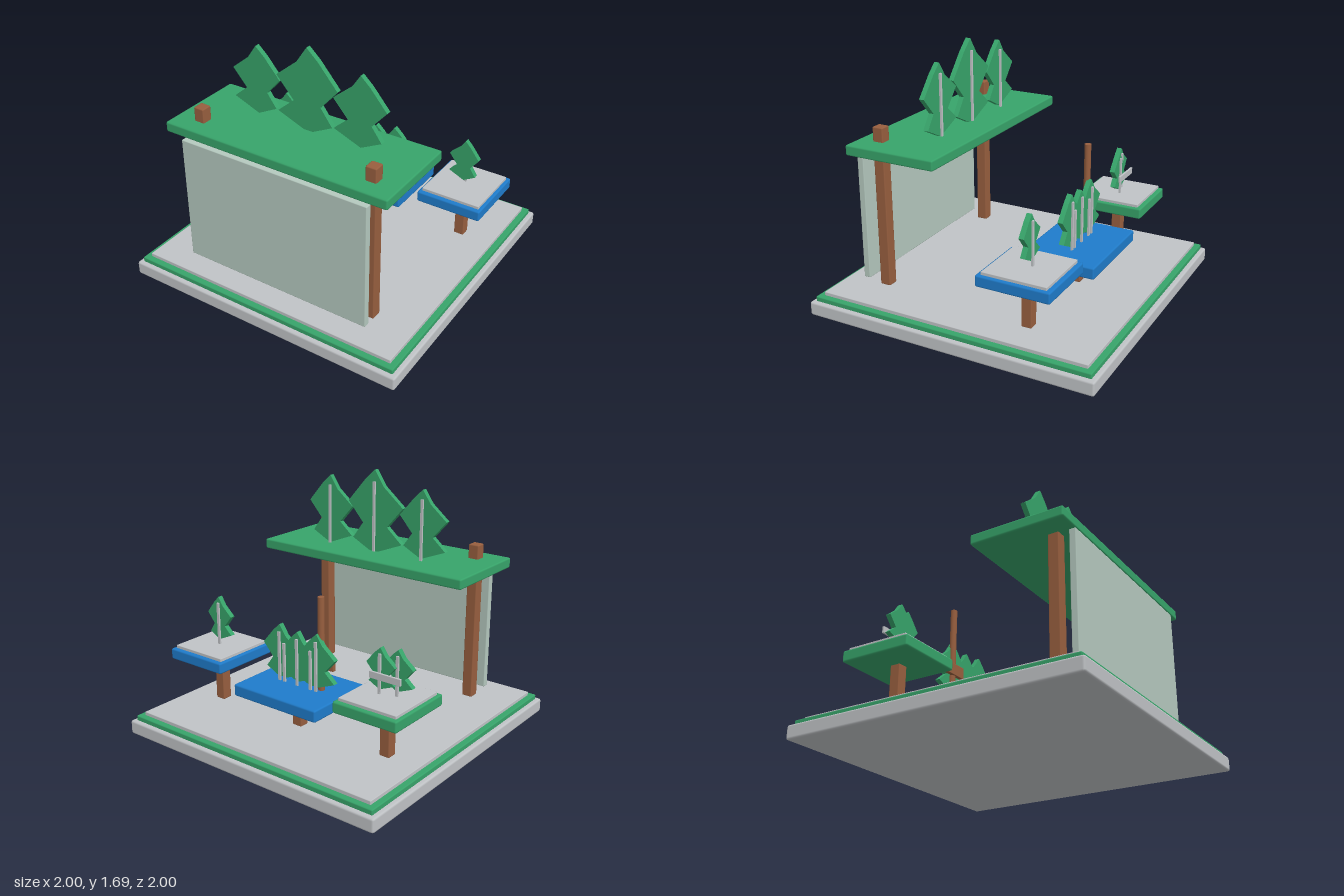
import * as THREE from 'three';
import { RoundedBoxGeometry } from 'three/addons/geometries/RoundedBoxGeometry.js';

const mat = (name, color) => {
  const m = new THREE.MeshStandardMaterial({ color });
  m.name = name;
  return m;
};

export function createModel() {
  const grey = mat('stoneGrey', 0xc0c3c6);
  const green = mat('leafGreen', 0x37a46a);
  const blue = mat('waterBlue', 0x1f7ccb);
  const brown = mat('woodBrown', 0x985f3f);
  const pale = mat('paleGlass', 0xb5c9bf);

  const model = new THREE.Group();
  model.name = 'parkDisplay';

  // Box with softened edges, given by its extents on each axis
  function slab(name, material, [x0, x1], [y0, y1], [z0, z1], bevel = 0.01, parent = model) {
    const geo = new RoundedBoxGeometry(x1 - x0, y1 - y0, z1 - z0, 1, bevel);
    const mesh = new THREE.Mesh(geo, material);
    mesh.name = name;
    mesh.position.set((x0 + x1) / 2, (y0 + y1) / 2, (z0 + z1) / 2);
    parent.add(mesh);
    return mesh;
  }

  // Two-tier leaf outline for a tree of height 1
  const outline = [
    [0, 1], [0.14, 0.87], [0.38, 0.59], [0.165, 0.35], [0.31, 0.15], [0.01, 0],
    [-0.39, 0.16], [-0.18, 0.34], [-0.4, 0.59], [-0.13, 0.81],
  ];

  // Flat cut-out tree with a thin trunk behind it; z is the middle of the cut-out
  function tree(x, y, z, height, ground, width = height) {
    const group = new THREE.Group();
    group.name = 'tree';
    const shape = new THREE.Shape(outline.map(([u, v]) => new THREE.Vector2(u * width, v * height)));
    const depth = 0.035;
    const leaves = new THREE.Mesh(new THREE.ExtrudeGeometry(shape, { depth, bevelEnabled: false }), green);
    leaves.name = 'leaves';
    leaves.position.set(x, y, z - depth / 2);
    group.add(leaves);
    const top = y + height * 0.86;
    const trunk = new THREE.Mesh(new THREE.BoxGeometry(0.018, top - ground, 0.012), grey);
    trunk.name = 'trunk';
    trunk.position.set(x, (top + ground) / 2, z - depth / 2 - 0.006);
    group.add(trunk);
    model.add(group);
  }

  // Stepped base
  slab('base', grey, [-1, 1], [0, 0.095], [-1, 1], 0.015);
  slab('lawnBorder', green, [-0.97, 0.97], [0.09, 0.128], [-0.97, 0.97], 0.008);
  slab('plaza', grey, [-0.93, 0.93], [0.12, 0.152], [-0.93, 0.93], 0.005);

  // Front shelter: posts, roof and panel
  for (const x of [-0.625, 0.625]) {
    slab('shelterPost', brown, [x - 0.037, x + 0.037], [0.15, 1.23], [0.605, 0.68], 0.008);
  }
  slab('shelterRoof', green, [-0.805, 0.8], [1.065, 1.135], [0.155, 0.79], 0.012);
  slab('frontPanel', pale, [-0.675, 0.675], [0.18, 1.05], [0.755, 0.8], 0.006);

  // Trees on the roof
  tree(-0.38, 1.145, 0.378, 0.46, 1.13);
  tree(0, 1.12, 0.378, 0.57, 1.13);
  tree(0.375, 1.135, 0.378, 0.475, 1.13);

  // Raised side platforms
  for (const [side, material] of [[-1, green], [1, blue]]) {
    const x = side * 0.689;
    slab('platformPost', brown, [x - 0.035, x + 0.035], [0.15, 0.46], [-0.465, -0.395], 0.006);
    slab('platform', material, [x - 0.229, x + 0.229], [0.455, 0.53], [-0.68, -0.19], 0.012);
    slab('platformTop', grey, [x - 0.207, x + 0.207], [0.525, 0.55], [-0.65, -0.22], 0.004);
  }
  tree(-0.745, 0.575, -0.4, 0.265, 0.55);
  tree(-0.64, 0.575, -0.433, 0.265, 0.55);
  tree(0.685, 0.58, -0.43, 0.3, 0.55, 0.27);
  slab('rail', grey, [-0.805, -0.58], [0.645, 0.69], [-0.48, -0.465], 0.003);

  // Low middle platform with a tree cluster and a pole
  slab('middlePost', brown, [-0.035, 0.035], [0.15, 0.36], [-0.465, -0.395], 0.006);
  slab('middlePlatform', blue, [-0.335, 0.33], [0.35, 0.43], [-0.69, -0.18], 0.012);
  for (const [x, h] of [[-0.155, 0.36], [-0.11, 0.28], [0, 0.34], [0.105, 0.28], [0.145, 0.36]]) {
    tree(x, 0.45, -0.433, h, 0.43);
  }
  const pole = new THREE.Mesh(new THREE.CylinderGeometry(0.022, 0.022, 0.615, 12), brown);
  pole.name = 'pole';
  pole.position.set(-0.165, 0.7375, -0.412);
  model.add(pole);
  slab('crossBoard', brown, [-0.255, -0.075], [0.57, 0.65], [-0.41, -0.383], 0.004);

  return model;
}
